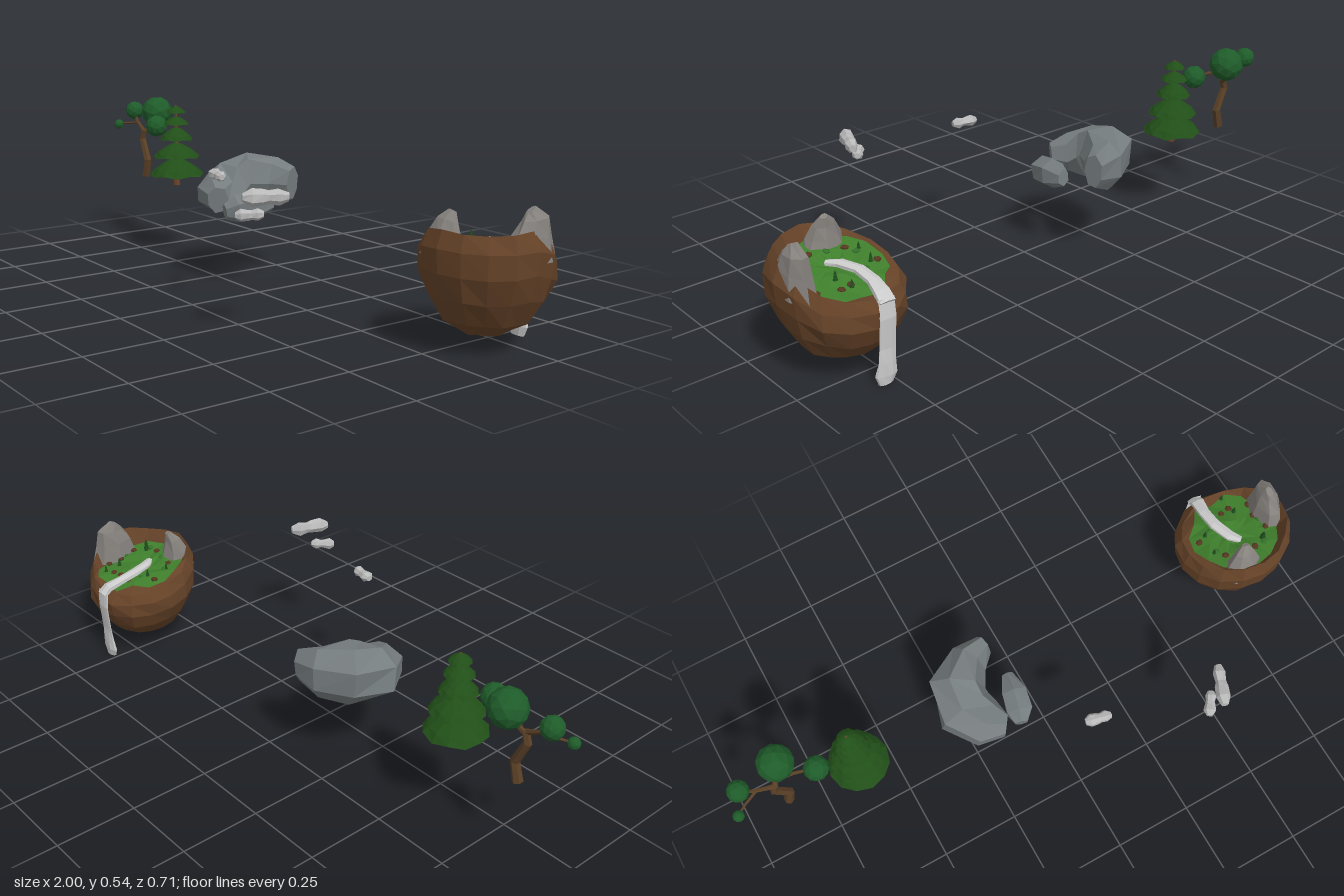
import * as THREE from 'three';

const V = (x, y, z) => new THREE.Vector3(x, y, z);
const UP = V(0, 1, 0);
let seed = 7;
const rand = () => (seed = (seed * 16807) % 2147483647) / 2147483647;
const jit = (a) => (rand() - 0.5) * 2 * a;

function add(parent, name, geometry, color) {
  const material = new THREE.MeshStandardMaterial({ color, flatShading: true });
  const mesh = new THREE.Mesh(geometry, material);
  mesh.name = name;
  parent.add(mesh);
  return mesh;
}

// Faceted skin over a list of rings with equal point counts
function skin(rings) {
  const pos = [];
  const n = rings[0].length;
  for (let i = 0; i < rings.length - 1; i++) {
    for (let j = 0; j < n; j++) {
      const k = (j + 1) % n;
      const [a, b, c, d] = [rings[i][j], rings[i][k], rings[i + 1][k], rings[i + 1][j]];
      for (const p of [a, d, c, a, c, b]) pos.push(p.x, p.y, p.z);
    }
  }
  const g = new THREE.BufferGeometry();
  g.setAttribute('position', new THREE.Float32BufferAttribute(pos, 3));
  g.computeVertexNormals();
  return g;
}

// Closed lump along a path of [x, y, z, half width, half height]
function lump(path, sides, rough = 0, up = UP) {
  const centres = path.map((p) => V(p[0], p[1], p[2]));
  const last = path.length - 1;
  const rings = path.map(([, , , w, h], i) => {
    const t = centres[Math.min(i + 1, last)].clone().sub(centres[Math.max(i - 1, 0)]).normalize();
    const s = t.clone().cross(up).normalize();
    const u = s.clone().cross(t);
    return Array.from({ length: sides }, (_, j) => {
      const a = ((j + 0.5) / sides) * Math.PI * 2;
      const k = 1 + jit(rough);
      return centres[i].clone().addScaledVector(s, Math.cos(a) * w * k).addScaledVector(u, Math.sin(a) * h * k);
    });
  });
  const cap = (c) => Array(sides).fill(c);
  return skin([cap(centres[0]), ...rings, cap(centres[last])]);
}

function crookedTree() {
  const g = new THREE.Group();
  g.name = 'crookedTree';
  const bark = 0x5a4026;
  const limb = (name, pts, r0, r1) =>
    add(g, name, lump(pts.map((p, i) => {
      const r = r0 + ((r1 - r0) * i) / (pts.length - 1);
      return [...p, r, r];
    }), 6, 0, V(0, 0, 1)), bark);
  limb('trunk', [[-0.845, 0.25, -0.08], [-0.83, 0.31, -0.08], [-0.865, 0.385, -0.08], [-0.855, 0.42, -0.08]], 0.016, 0.011);
  limb('branch', [[-0.855, 0.41, -0.08], [-0.84, 0.44, -0.1], [-0.82, 0.48, -0.115]], 0.009, 0.006);
  limb('branch', [[-0.855, 0.415, -0.08], [-0.91, 0.445, -0.085], [-0.95, 0.475, -0.095]], 0.008, 0.004);
  limb('branch', [[-0.905, 0.442, -0.085], [-0.95, 0.437, -0.065], [-0.985, 0.433, -0.045]], 0.005, 0.003);
  limb('branch', [[-0.845, 0.43, -0.09], [-0.79, 0.455, -0.075], [-0.73, 0.45, -0.06]], 0.007, 0.004);
  for (const [x, y, z, r] of [[-0.82, 0.488, -0.117, 0.057], [-0.948, 0.483, -0.095, 0.034],
    [-0.725, 0.45, -0.058, 0.039], [-0.982, 0.431, -0.045, 0.018]]) {
    const leaf = add(g, 'foliage', new THREE.IcosahedronGeometry(r, 1), 0x1f5c2a);
    leaf.position.set(x, y, z);
    leaf.rotation.set(x * 5, y * 9, z * 7);
  }
  return g;
}

function conifer() {
  const g = new THREE.Group();
  g.name = 'conifer';
  g.position.set(-0.608, 0, -0.07);
  add(g, 'trunk', new THREE.CylinderGeometry(0.003, 0.012, 0.285, 7), 0x6b4426).position.y = 0.393;
  // Tiers as [hem height, top height, radius]
  for (const [y0, y1, r] of [[0.285, 0.348, 0.095], [0.35, 0.402, 0.081], [0.412, 0.458, 0.057],
    [0.467, 0.496, 0.045], [0.508, 0.533, 0.034]]) {
    const h = y1 - y0;
    const profile = [[0.004, 0.2], [0.6, 0.14], [1, 0], [0.82, 0.38], [0.5, 0.72], [0.22, 0.94], [0.001, 1]]
      .map(([a, b]) => new THREE.Vector2(a * r, y0 + b * h));
    const geo = new THREE.LatheGeometry(profile, 12);
    // Zigzag the hem
    const p = geo.attributes.position;
    for (let i = 0; i < p.count; i++) {
      const column = Math.floor(i / profile.length);
      if (i % profile.length === 2 && column % 2) p.setY(i, p.getY(i) + h * 0.12);
    }
    add(g, 'needleTier', geo, 0x214f18);
  }
  return g;
}

function rocks() {
  const g = new THREE.Group();
  g.name = 'boulders';
  add(g, 'crescentBoulder', lump([
    [-0.1, 0.315, -0.205, 0.03, 0.055], [-0.165, 0.318, -0.185, 0.062, 0.085],
    [-0.235, 0.318, -0.125, 0.09, 0.095], [-0.25, 0.305, -0.05, 0.09, 0.085],
    [-0.21, 0.285, 0.015, 0.08, 0.06], [-0.16, 0.28, 0.05, 0.035, 0.045]], 7, 0.08), 0x767d7f);
  add(g, 'smallBoulder', lump([
    [-0.075, 0.27, -0.1, 0.022, 0.025], [-0.085, 0.265, -0.04, 0.04, 0.045],
    [-0.1, 0.255, 0.02, 0.045, 0.045], [-0.11, 0.25, 0.055, 0.022, 0.025]], 6, 0.12), 0x767d7f);
  return g;
}

// Peanut-shaped stone between two points
function stone(a, b, r, h) {
  const at = (t, k) => [...a.map((v, i) => v + (b[i] - v) * t), r * k, h * k];
  return lump([at(0, 0.5), at(0.2, 1), at(0.45, 0.9), at(0.58, 0.75), at(0.8, 0.95), at(1, 0.5)], 7, 0.12);
}

function island() {
  const g = new THREE.Group();
  g.name = 'island';
  const cx = 0.81, cz = -0.17, n = 16;
  const bump = (a, c, w) => Math.exp(-((Math.atan2(Math.sin(a - c), Math.cos(a - c)) / w) ** 2));
  const rim = (a) => 0.3 + 0.025 * Math.cos(a) + 0.045 * Math.sin(a) + 0.035 * bump(a, -0.1, 0.45) + 0.015 * bump(a, 1.9, 0.4);
  const ring = (r, height, rough) => Array.from({ length: n }, (_, j) => {
    const a = (j / n) * Math.PI * 2;
    const k = r + (r ? jit(rough) : 0);
    return V(cx + Math.cos(a) * k, height(a) + (r ? jit(rough * 0.6) : 0), cz + Math.sin(a) * k);
  });
  // Earth bowl up to the rim, then down its inner bank
  const bowl = [[0, 0], [0.055, 0.015], [0.115, 0.15], [0.157, 0.38], [0.181, 0.62], [0.183, 0.84], [0.165, 1]]
    .map(([r, f]) => ring(r, (a) => 0.048 + f * (rim(a) - 0.048), 0.005));
  const edge = ring(0.138, (a) => 0.283 + 0.028 * Math.sin(a), 0.013);
  add(g, 'earth', skin([...bowl, edge]), 0x664328);
  add(g, 'grass', skin([edge, ring(0.085, (a) => 0.284 + 0.016 * Math.sin(a), 0.009),
    ring(0.04, () => 0.284, 0.006), ring(0, () => 0.282, 0)]), 0x3f7f2c);

  // Rocky peaks on the rim
  add(g, 'peak', lump([[0.768, 0.27, -0.05, 0.07, 0.05], [0.768, 0.325, -0.053, 0.052, 0.036],
    [0.77, 0.365, -0.06, 0.032, 0.022], [0.775, 0.39, -0.072, 0.012, 0.009]], 7, 0.1, V(0, 0, 1)), 0x85817d);
  add(g, 'peak', lump([[0.945, 0.27, -0.19, 0.045, 0.085], [0.945, 0.335, -0.192, 0.038, 0.066],
    [0.944, 0.38, -0.2, 0.026, 0.047], [0.94, 0.405, -0.187, 0.011, 0.018]], 7, 0.1, V(0, 0, 1)), 0x85817d);

  // Stream and waterfall over the low side
  add(g, 'stream', lump([[0.815, 0.288, -0.13, 0.012, 0.008], [0.79, 0.289, -0.16, 0.02, 0.01],
    [0.77, 0.288, -0.22, 0.02, 0.01], [0.768, 0.277, -0.28, 0.021, 0.012],
    [0.775, 0.264, -0.325, 0.024, 0.013], [0.776, 0.245, -0.35, 0.026, 0.008]], 6, 0.08), 0xcccccc);
  add(g, 'waterfall', lump([[0.776, 0.255, -0.345, 0.026, 0.004], [0.777, 0.2, -0.351, 0.027, 0.003],
    [0.778, 0.11, -0.344, 0.026, 0.003], [0.78, 0.07, -0.34, 0.028, 0.008],
    [0.782, 0.03, -0.336, 0.034, 0.012], [0.782, 0.003, -0.335, 0.022, 0.009]], 8, 0.1, V(0, 0, 1)), 0xcccccc);

  // Tiny conifers
  for (const [x, z, h] of [[0.877, -0.1, 0.05], [0.85, -0.23, 0.03], [0.72, -0.2, 0.028], [0.84, -0.29, 0.025], [0.71, -0.13, 0.03]]) {
    for (let i = 0; i < 3; i++) {
      const c = add(g, 'tinyTree', new THREE.ConeGeometry(h * (0.26 - i * 0.06), h * 0.42, 6), 0x1d4a1c);
      c.position.set(x, 0.286 + h * (0.25 + i * 0.28), z);
    }
  }
  // Bare earth clumps and grass tufts around the lawn
  for (let i = 0; i < 14; i++) {
    const a = i * 2.4, r = 0.075 + 0.055 * rand();
    const c = add(g, i % 3 ? 'earthClump' : 'grassTuft', new THREE.IcosahedronGeometry(0.012, 0), i % 3 ? 0x553720 : 0x35702a);
    c.scale.set(1.1, 0.6, 1);
    c.rotation.y = a;
    c.position.set(cx + Math.cos(a) * r, 0.284 + Math.sin(a) * r * 0.19, cz + Math.sin(a) * r);
  }
  return g;
}

export function createModel() {
  seed = 7;
  const model = new THREE.Group();
  model.name = 'floatingIslandSet';
  model.add(crookedTree(), conifer(), rocks(), island());
  // Loose floating stones
  for (const [a, b, r, h] of [
    [[0.033, 0.411, 0.195], [0.112, 0.409, 0.212], 0.019, 0.017],
    [[0.422, 0.415, 0.355], [0.472, 0.412, 0.237], 0.022, 0.025],
    [[0.38, 0.358, 0.348], [0.425, 0.362, 0.285], 0.019, 0.018]]) {
    add(model, 'looseStone', stone(a, b, r, h), 0xb9b9b9);
  }
  return model;
}
